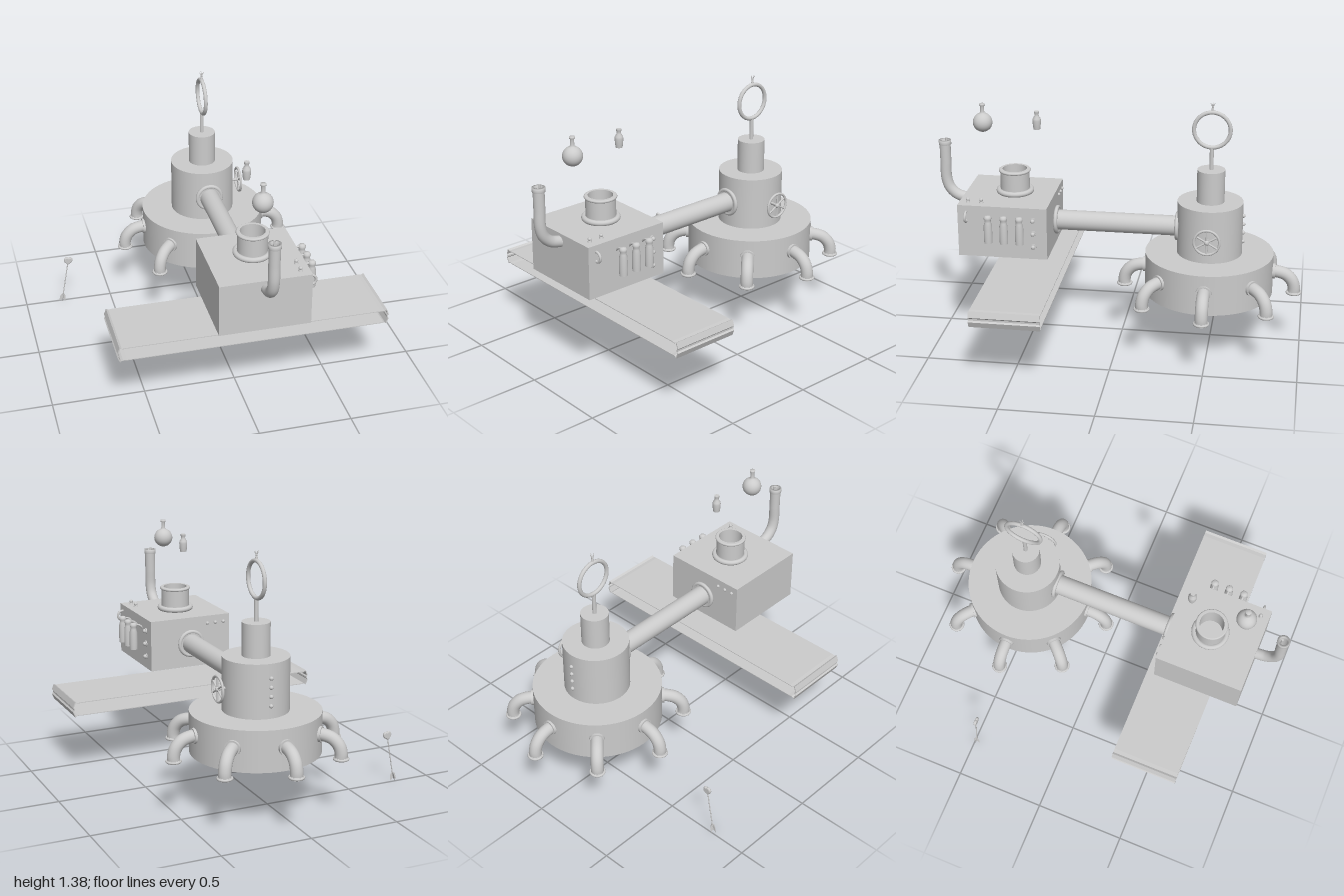
import * as THREE from 'three';

const CX = 0.067, TZ = -0.49;
const mat = new THREE.MeshStandardMaterial({ color: 0xcccccc });
const matDouble = new THREE.MeshStandardMaterial({ color: 0xcccccc, side: THREE.DoubleSide });
const v = (x, y, z) => new THREE.Vector3(x, y, z);
const vec2 = pts => pts.map(([x, y]) => new THREE.Vector2(x, y));

function add(parent, name, geo, x = 0, y = 0, z = 0, material = mat) {
  const m = new THREE.Mesh(geo, material);
  m.name = name;
  m.position.set(x, y, z);
  parent.add(m);
  return m;
}
function group(parent, name, x = 0, y = 0, z = 0) {
  const g = new THREE.Group();
  g.name = name;
  g.position.set(x, y, z);
  parent.add(g);
  return g;
}
const cyl = (r, h, n = 32) => new THREE.CylinderGeometry(r, r, h, n);
const drum = (p, name, r, y0, y1, n = 64) => add(p, name, cyl(r, y1 - y0, n), 0, (y0 + y1) / 2, 0);
const ball = r => new THREE.SphereGeometry(r, 16, 12);
const lathe = (pts, n = 32) => new THREE.LatheGeometry(vec2(pts), n);
// ring lying flat, around the y axis
function flatRing(parent, name, r, tube, x, y, z) {
  add(parent, name, new THREE.TorusGeometry(r, tube, 12, 48), x, y, z).rotation.x = Math.PI / 2;
}

function tower(root) {
  const g = group(root, 'tower', CX, -0.004, TZ);
  drum(g, 'baseDrum', 0.35, 0.322, 0.547);
  drum(g, 'middleDrum', 0.178, 0.547, 0.84);
  drum(g, 'topDrum', 0.075, 0.84, 1.02);
  drum(g, 'mast', 0.011, 1.02, 1.14, 16);

  // ring standing on the mast, with a small pronged finial
  add(g, 'mastRing', new THREE.TorusGeometry(0.097, 0.011, 16, 64), 0, 1.24, 0).rotation.y = Math.PI / 2;
  add(g, 'finialStem', new THREE.CylinderGeometry(0.004, 0.008, 0.02, 12), 0, 1.358, 0);
  add(g, 'finialBead', ball(0.006), 0, 1.369, 0);
  for (let i = 0; i < 4; i++) {
    const prong = group(g, 'finialProng', 0, 1.37, 0);
    prong.rotation.y = i * Math.PI / 2;
    add(prong, 'prongRod', cyl(0.002, 0.02, 8), 0.007, 0.009, 0).rotation.z = -0.45;
  }

  // eight elbow spouts round the base
  const curve = new THREE.CatmullRomCurve3([v(0.335, 0.45, 0), v(0.37, 0.449, 0), v(0.42, 0.434, 0),
    v(0.454, 0.4, 0), v(0.467, 0.36, 0), v(0.467, 0.33, 0)]);
  for (let i = 0; i < 8; i++) {
    const leg = group(g, 'elbowSpout');
    leg.rotation.y = i * Math.PI / 4;
    add(leg, 'spoutPipe', new THREE.TubeGeometry(curve, 24, 0.034, 20));
    add(leg, 'wallCollar', cyl(0.042, 0.016), 0.354, 0.45, 0).rotation.z = Math.PI / 2;
    add(leg, 'mouthCollar', cyl(0.037, 0.016), 0.467, 0.33, 0);
    flatRing(leg, 'mouthRim', 0.036, 0.007, 0.467, 0.33, 0);
  }

  // valve wheel on the left side
  const wheel = group(g, 'valveWheel', 0.218, 0.684, 0);
  wheel.rotation.y = Math.PI / 2;
  add(wheel, 'wheelRim', new THREE.TorusGeometry(0.068, 0.007, 12, 48));
  for (let i = 0; i < 3; i++) add(wheel, 'wheelSpoke', cyl(0.005, 0.134, 10)).rotation.z = i * Math.PI / 3;
  add(wheel, 'wheelAxle', cyl(0.008, 0.06, 16), 0, 0, -0.018).rotation.x = Math.PI / 2;
  add(wheel, 'wheelHub', ball(0.014));

  // studs down the back
  for (const y of [0.615, 0.665, 0.714, 0.763]) add(g, 'backStud', ball(0.011), 0, y, -0.18);
}

function connectingPipe(root) {
  const g = group(root, 'connectingPipe', CX, 0.682, 0);
  add(g, 'pipe', cyl(0.055, 0.68, 40), 0, 0, 0.025).rotation.x = Math.PI / 2;
  for (const z of [0.352, -0.313]) {
    add(g, 'pipeFlange', cyl(0.07, 0.018, 40), 0, 0, z).rotation.x = Math.PI / 2;
    add(g, 'pipeFlangeRim', new THREE.TorusGeometry(0.069, 0.011, 12, 40), 0, 0, z);
  }
}

function machineBox(root) {
  const g = group(root, 'machineBox', 0, -0.005, 0);
  add(g, 'boxBody', new THREE.BoxGeometry(0.486, 0.29, 0.487), CX - 0.002, 0.691, 0.608);

  // open funnel on the lid: straight wall, flat floor, rounded rims
  const funnel = group(g, 'funnel', CX, 0.836, 0.583);
  add(funnel, 'funnelWall', new THREE.CylinderGeometry(0.08, 0.08, 0.138, 48, 1, true), 0, 0.069, 0);
  add(funnel, 'funnelInside', new THREE.CylinderGeometry(0.066, 0.066, 0.138, 48, 1, true), 0, 0.069, 0, matDouble);
  add(funnel, 'funnelLip', new THREE.RingGeometry(0.066, 0.081, 48), 0, 0.138, 0).rotation.x = -Math.PI / 2;
  add(funnel, 'funnelFloor', cyl(0.066, 0.006, 48), 0, 0.004, 0);
  flatRing(funnel, 'funnelTopRim', 0.079, 0.008, 0, 0.13, 0);
  flatRing(funnel, 'funnelBaseRim', 0.088, 0.015, 0, 0.015, 0);

  // chimney bending up from the front
  const path = new THREE.CatmullRomCurve3([v(0, 0.787, 0.83), v(0, 0.792, 0.86), v(0, 0.808, 0.91), v(0, 0.847, 0.95),
    v(0, 0.9, 0.967), v(0, 1.0, 0.968), v(0, 1.11, 0.968)]);
  add(g, 'chimney', new THREE.TubeGeometry(path, 40, 0.03, 24), CX, 0, 0, matDouble);
  add(g, 'chimneyRim', lathe([[0.029, 0], [0.034, 0], [0.034, 0.024], [0.022, 0.024], [0.022, 0]]), CX, 1.095, 0.968, matDouble);
  add(g, 'chimneyPeg', cyl(0.006, 0.05, 12), CX, 1.107, 0.96);

  // three bottles hung on the left side by short necks
  const neck = new THREE.QuadraticBezierCurve3(v(-0.06, 0.115, 0), v(-0.03, 0.155, 0), v(0, 0.135, 0));
  for (const z of [0.503, 0.588, 0.673]) {
    const b = group(g, 'sideBottle', 0.361, 0.65, z);
    add(b, 'bottleBody', lathe([[0, 0], [0.022, 0], [0.022, 0], [0.023, 0.03], [0.022, 0.1], [0.017, 0.118],
      [0.017, 0.13], [0.02, 0.135], [0.02, 0.145], [0.014, 0.153], [0, 0.155]], 24));
    add(b, 'bottleNeck', new THREE.TubeGeometry(neck, 20, 0.006, 12));
  }

  // column of push buttons beside the bottles
  for (const y of [0.767, 0.692, 0.617]) {
    add(g, 'buttonBase', cyl(0.017, 0.008, 20), 0.31, y, 0.44).rotation.z = Math.PI / 2;
    add(g, 'buttonKnob', ball(0.012), 0.316, y, 0.44);
  }

  // ring handle near the front edge
  add(g, 'ringHandle', new THREE.TorusGeometry(0.027, 0.007, 12, 32), 0.315, 0.774, 0.803);

  // pegs on the lid and studs behind
  for (const z of [0.73, 0.803]) {
    add(g, 'lidPegBase', new THREE.CylinderGeometry(0.007, 0.012, 0.014, 16), 0.257, 0.843, z);
    add(g, 'lidPeg', ball(0.01), 0.257, 0.853, z);
  }
  for (const x of [-0.14, -0.09, -0.04]) add(g, 'rearStud', ball(0.01), x, 0.793, 0.363);
}

function conveyor(root) {
  // thin open-sided loop of belt with faceted, mirrored ends
  const end = [[0.69, 0.434], [0.712, 0.432], [0.724, 0.439], [0.736, 0.407], [0.73, 0.4], [0.73, 0.39],
    [0.737, 0.382], [0.724, 0.35], [0.712, 0.358], [0.69, 0.356]];
  const loop = [...end, ...end.map(([x, y]) => [-x, y]).reverse()];
  const inner = loop.map(([x, y]) => [x - Math.sign(x) * 0.005, 0.395 + (y - 0.395) * 0.9]).reverse();
  const shape = new THREE.Shape(vec2(loop));
  shape.holes.push(new THREE.Path(vec2(inner)));
  const geo = new THREE.ExtrudeGeometry(shape, { depth: 0.376, bevelEnabled: false });
  add(root, 'conveyorBelt', geo, CX - 0.003, 0, 0.313, matDouble);
}

function flasks(root) {
  // round flask
  const pts = [[0, -0.053]];
  for (let i = 1; i <= 16; i++) {
    const a = -Math.PI / 2 + i * 2.86 / 16;
    pts.push([0.053 * Math.cos(a), 0.053 * Math.sin(a)]);
  }
  pts.push([0.011, 0.06], [0.01, 0.09], [0.015, 0.094], [0.015, 0.104], [0, 0.104]);
  add(root, 'roundFlask', lathe(pts), CX, 1.225, 0.753);
  // small vial
  add(root, 'smallVial', lathe([[0, 0], [0.018, 0], [0.018, 0], [0.021, 0.02], [0.023, 0.048], [0.021, 0.06], [0.012, 0.074],
    [0.011, 0.086], [0.014, 0.09], [0.014, 0.1], [0.014, 0.1], [0, 0.1]], 24), CX, 1.199, 0.455);
}

function arrow(root) {
  const g = group(root, 'arrow', -0.764, 0.152, TZ);
  g.rotation.z = -0.18;
  add(g, 'arrowShaft', cyl(0.003, 0.27, 10));
  // heart-shaped head, thinning towards its edge
  const s = new THREE.Shape();
  s.moveTo(0, 0.1);
  s.bezierCurveTo(0.012, 0.108, 0.025, 0.115, 0.024, 0.13);
  s.bezierCurveTo(0.023, 0.145, 0.008, 0.15, 0, 0.143);
  s.bezierCurveTo(-0.008, 0.15, -0.023, 0.145, -0.024, 0.13);
  s.bezierCurveTo(-0.025, 0.115, -0.012, 0.108, 0, 0.1);
  add(g, 'arrowHead', new THREE.ExtrudeGeometry(s, { depth: 0.002, bevelThickness: 0.007, bevelSize: 0.007,
    bevelOffset: -0.006, bevelSegments: 3 }), 0, 0, -0.001);
  // crossed feathers
  const f = new THREE.Shape(vec2([[0, -0.135], [0.019, -0.15], [0.016, -0.115], [0, -0.095]]));
  for (let i = 0; i < 4; i++) {
    add(g, 'arrowFeather', new THREE.ShapeGeometry(f), 0, 0, 0, matDouble).rotation.y = i * Math.PI / 2;
  }
}

export function createModel() {
  const root = new THREE.Group();
  root.name = 'potionMachine';
  for (const build of [tower, connectingPipe, machineBox, conveyor, flasks, arrow]) build(root);
  return root;
}
